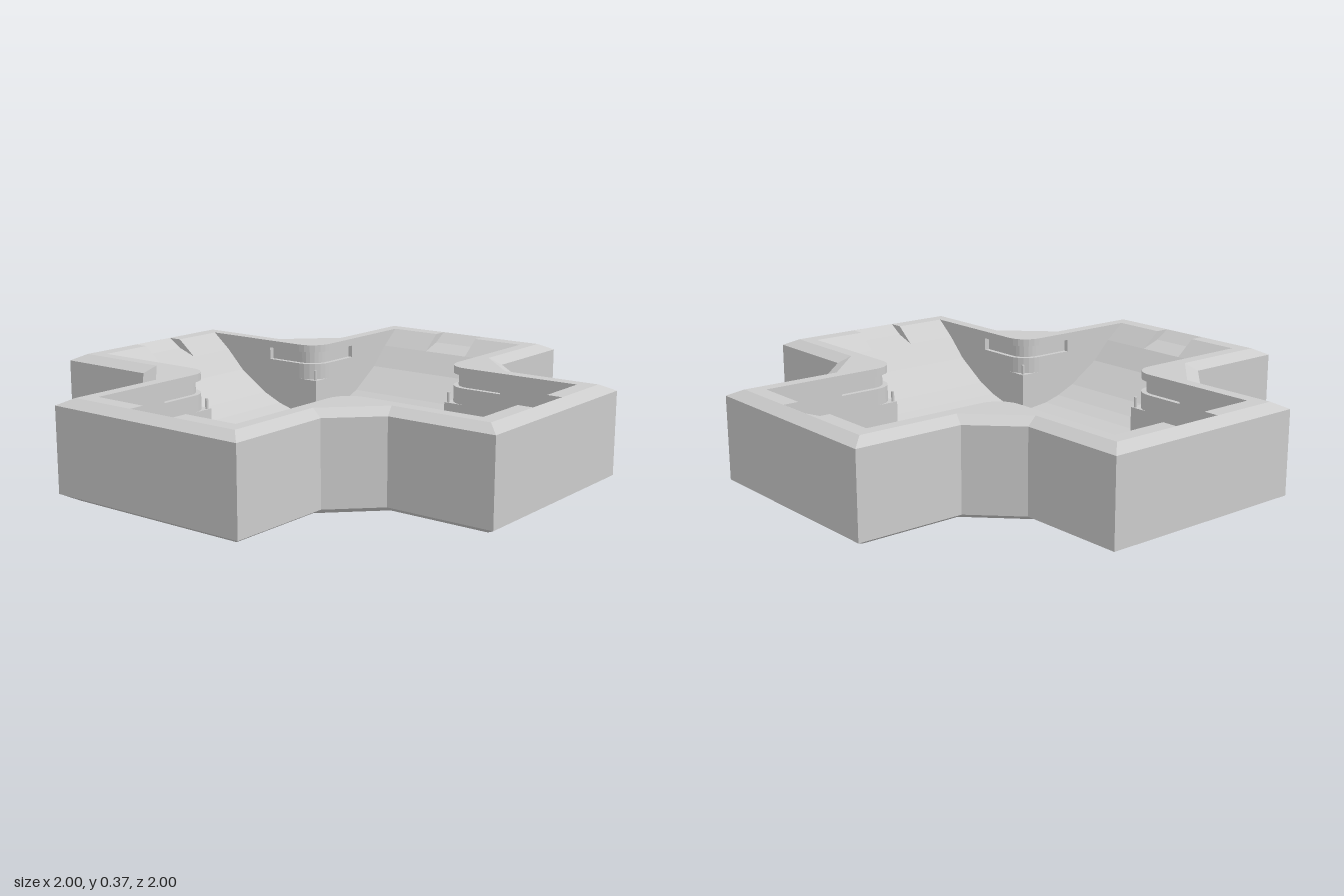
import * as THREE from 'three';

const TOP = 0.37, FLOOR = 0.07, HALF = 0.32, LEDGE = 0.225;
const SLOT = [0.29, 0.34], SLOT_END = 0.57;
// Ramp profile along an arm: distance from centre, height
const RAMP = [[0.32, FLOOR], [0.45, 0.085], [0.52, 0.105], [0.6, 0.14], [0.73, 0.225], [0.81, 0.305], [0.89, TOP]];
const NOTCH = [[0.81, 0.305], [0.89, 0.333], [0.949, TOP]];

const outside = new THREE.MeshStandardMaterial({ color: 0xcccccc, flatShading: true });
const inside = new THREE.MeshStandardMaterial({ color: 0xcccccc, flatShading: true, side: THREE.DoubleSide });

function add(group, name, geometry, material = inside) {
  const mesh = new THREE.Mesh(geometry, material);
  mesh.name = name;
  group.add(mesh);
  return mesh;
}

// Quads between two polylines of [x, y, z] points
function strip(a, b) {
  const pos = [];
  for (let i = 0; i < a.length - 1; i++) {
    pos.push(...a[i], ...a[i + 1], ...b[i + 1], ...a[i], ...b[i + 1], ...b[i]);
  }
  const g = new THREE.BufferGeometry();
  g.setAttribute('position', new THREE.Float32BufferAttribute(pos, 3));
  g.computeVertexNormals();
  return g;
}

const shape = (pts) => new THREE.Shape(pts.map(([x, y]) => new THREE.Vector2(x, y)));
const level = (pts, y) => pts.map(([x, z]) => [x, y, z]);

// Repeat one quadrant of a plan outline four times around the centre
function around(quadrant) {
  const out = [];
  let q = quadrant;
  for (let k = 0; k < 4; k++) {
    out.push(...q);
    q = q.map(([x, z]) => [-z, x]);
  }
  return out;
}

// Rounded inner corner around (0.41, 0.41)
function arc(r, n = 6) {
  return Array.from({ length: n + 1 }, (_, i) => {
    const t = -Math.PI / 2 - (i / n) * Math.PI / 2;
    return [0.41 + r * Math.cos(t), 0.41 + r * Math.sin(t)];
  });
}

// Bevelled cross-shaped shell with its flat rim and base
function buildShell() {
  const g = new THREE.Group();
  g.name = 'outerShell';
  const wide = around([[1, 0.42], [0.58, 0.42], [0.42, 0.58], [0.42, 1]]);
  const narrow = around([[0.95, 0.37], [0.559, 0.37], [0.37, 0.559], [0.37, 0.95]]);
  const loop = (pts, y) => level([...pts, pts[0]], y);
  const rings = [loop(narrow, 0), loop(wide, 0.027), loop(wide, 0.345), loop(narrow, TOP)];
  ['lowerBevel', 'outerWall', 'upperBevel'].forEach((name, i) =>
    add(g, name, strip(rings[i + 1], rings[i]), outside));

  add(g, 'base', new THREE.ShapeGeometry(shape(narrow)).rotateX(Math.PI / 2), outside);

  const rim = shape(narrow);
  rim.holes.push(shape(around([
    [0.949, 0.1], [0.89, 0.1], [0.89, HALF], ...arc(0.09), [HALF, 0.89], [0.1, 0.89], [0.1, 0.949],
  ])));
  add(g, 'rim', new THREE.ShapeGeometry(rim).rotateX(-Math.PI / 2).translate(0, TOP, 0), outside);
  return g;
}

// One arm of the basin, pointing to +x
function buildArm() {
  const g = new THREE.Group();
  g.name = 'basinArm';
  const across = (profile, z0, z1) =>
    strip(profile.map(([x, y]) => [x, y, z1]), profile.map(([x, y]) => [x, y, z0]));
  add(g, 'ramp', across(RAMP.slice(0, -1), -HALF, HALF));
  add(g, 'notchFloor', across(NOTCH, -0.1, 0.1));

  const wall = shape([
    ...RAMP, [0.41, TOP], [0.41, SLOT[1]], [SLOT_END, SLOT[1]], [SLOT_END, SLOT[0]],
    [0.41, SLOT[0]], [0.41, LEDGE], [HALF, LEDGE],
  ]);
  const cheek = shape([...NOTCH, [0.89, TOP]]);
  for (const s of [-1, 1]) {
    add(g, 'rampLip', across(RAMP.slice(-2), s * 0.21 - 0.11, s * 0.21 + 0.11));
    add(g, 'sideWall', new THREE.ShapeGeometry(wall).translate(0, 0, s * HALF));
    add(g, 'notchCheek', new THREE.ShapeGeometry(cheek).translate(0, 0, s * 0.1));
  }
  return g;
}

// One inner corner: rounded wall with a wrapped slot, square post and peg
function buildCorner() {
  const g = new THREE.Group();
  g.name = 'innerCorner';
  const curve = arc(0.09);
  add(g, 'roundedWallLower', strip(level(curve, LEDGE), level(curve, SLOT[0])));
  add(g, 'roundedWallUpper', strip(level(curve, SLOT[1]), level(curve, TOP)));

  const start = [SLOT_END, HALF], end = [HALF, SLOT_END];
  const front = [start, start, ...curve, end, end];
  const back = [start, [SLOT_END, 0.34], ...arc(0.07), [0.34, SLOT_END], end];
  add(g, 'slotBack', strip(level(back, SLOT[0]), level(back, SLOT[1])));
  for (const y of SLOT) add(g, 'slotEdge', strip(level(front, y), level(back, y)));

  const ledge = shape([[HALF, HALF], ...curve]);
  add(g, 'postTop', new THREE.ShapeGeometry(ledge).rotateX(Math.PI / 2).translate(0, LEDGE, 0));
  add(g, 'peg', new THREE.CylinderGeometry(0.006, 0.006, 0.04, 8).translate(0.332, LEDGE + 0.02, 0.332));
  return g;
}

export function createModel() {
  const model = new THREE.Group();
  model.name = 'crossBasin';
  model.add(buildShell());
  add(model, 'basinFloor', new THREE.PlaneGeometry(2 * HALF, 2 * HALF).rotateX(-Math.PI / 2).translate(0, FLOOR, 0));
  for (let k = 0; k < 4; k++) {
    for (const part of [buildArm(), buildCorner()]) {
      part.rotation.y = k * Math.PI / 2;
      model.add(part);
    }
  }
  return model;
}
